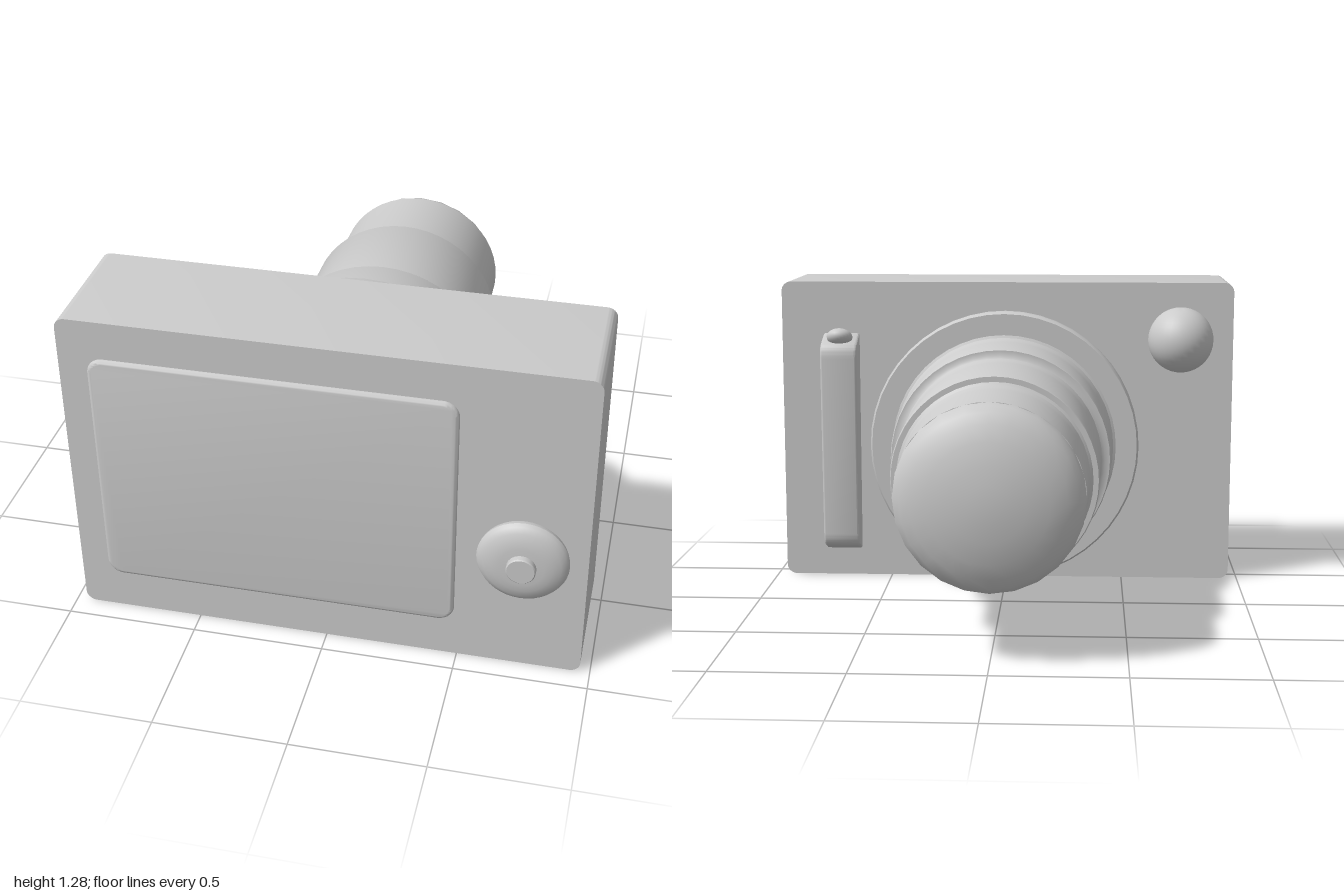
import * as THREE from 'three';
import { toCreasedNormals } from 'three/addons/utils/BufferGeometryUtils.js';

const material = new THREE.MeshStandardMaterial({ color: 0xcccccc });

function addMesh(group, name, geometry, x = 0, y = 0, z = 0, crease = 0.6) {
  const mesh = new THREE.Mesh(toCreasedNormals(geometry, crease), material);
  mesh.name = name;
  mesh.position.set(x, y, z);
  group.add(mesh);
  return mesh;
}

// Rounded rectangle centred on the origin
function roundedRect(w, h, r) {
  const s = new THREE.Shape();
  const x = w / 2 - r, y = h / 2 - r;
  s.absarc(x, y, r, 0, Math.PI / 2);
  s.absarc(-x, y, r, Math.PI / 2, Math.PI);
  s.absarc(-x, -y, r, Math.PI, Math.PI * 1.5);
  s.absarc(x, -y, r, Math.PI * 1.5, Math.PI * 2);
  s.closePath();
  return s;
}

// Turned part from [radius, z] pairs; direction is the way the profile runs along z
function turned(points, direction, segments = 40) {
  const profile = points.map(([r, z]) => new THREE.Vector2(r, z * direction));
  return new THREE.LatheGeometry(profile, segments).rotateX(direction * Math.PI / 2);
}

export function createModel() {
  const camera = new THREE.Group();
  camera.name = 'camera';

  // Body block with softened upright corners
  addMesh(camera, 'body', new THREE.ExtrudeGeometry(roundedRect(1.925, 1.28, 0.04),
    { depth: 0.485, bevelEnabled: false, curveSegments: 6 }), 0, 0.64, 0.43);

  // Raised screen panel with a pillowed rim
  addMesh(camera, 'screen', new THREE.ExtrudeGeometry(roundedRect(1.31, 0.935, 0.045),
    { depth: 0.02, bevelThickness: 0.015, bevelSize: 0.015, bevelSegments: 4, curveSegments: 6 }),
  -0.185, 0.648, 0.895, 1);

  // Control dial and its centre button
  addMesh(camera, 'dial', turned([[0, 0.9], [0.155, 0.9], [0.165, 0.92], [0.168, 0.935],
    [0.16, 0.95], [0.14, 0.962], [0.11, 0.972], [0.08, 0.976], [0, 0.976]], 1), 0.73, 0.502, 0);
  addMesh(camera, 'dialButton', turned([[0, 0.96], [0.054, 0.96], [0.054, 0.996],
    [0.05, 1], [0, 1]], 1, 24), 0.73, 0.502, 0);

  // Lens: mounting ring, three stepped barrels with small fillets, domed tip
  addMesh(camera, 'lensRing', turned([[0, 0.44], [0.532, 0.44], [0.545, 0.39], [0.558, 0.33],
    [0.562, 0.28], [0.562, 0.23], [0.554, 0.218], [0, 0.218]], -1, 48), 0, 0.61, 0);
  addMesh(camera, 'lensBarrel', turned([
    [0.475, 0.222], [0.456, 0.213], [0.449, 0.195], [0.445, 0.16], [0.442, -0.08], [0.438, -0.087],
    [0.418, -0.087], [0.406, -0.095], [0.4, -0.115], [0.397, -0.15], [0.394, -0.52], [0.39, -0.527],
    [0.37, -0.527], [0.36, -0.535], [0.355, -0.555], [0.352, -0.59], [0.346, -0.878],
  ], -1, 48), 0, 0.61, 0);
  addMesh(camera, 'lensTip', turned([[0.346, -0.876], [0.338, -0.9], [0.318, -0.925],
    [0.28, -0.948], [0.22, -0.971], [0.14, -0.988], [0.07, -0.997], [0, -1]], -1, 24), 0, 0.61, 0);

  // Round knob on the back
  addMesh(camera, 'knob', new THREE.SphereGeometry(0.138, 32, 20), -0.74, 1.04, 0.413);

  // Finger grip: side profile in (-z, y), extruded across x
  const grip = new THREE.Shape();
  grip.moveTo(-0.45, 0.115);
  grip.lineTo(-0.42, 0.12);
  grip.lineTo(-0.36, 0.145);
  grip.quadraticCurveTo(-0.338, 0.16, -0.335, 0.2);
  grip.lineTo(-0.31, 0.96);
  grip.quadraticCurveTo(-0.308, 1.01, -0.335, 1.025);
  grip.lineTo(-0.43, 1.06);
  grip.lineTo(-0.45, 1.06);
  grip.closePath();
  addMesh(camera, 'grip', new THREE.ExtrudeGeometry(grip, {
    depth: 0.135, bevelThickness: 0.01, bevelSize: 0.01, bevelOffset: -0.01, bevelSegments: 3,
  }).rotateY(Math.PI / 2), 0.64, 0, 0);

  // Shutter button sitting on the sloping top of the grip
  const shutter = addMesh(camera, 'shutterButton', new THREE.SphereGeometry(0.055, 24, 16), 0.707, 1.05, 0.365);
  shutter.scale.y = 0.65;
  shutter.rotation.x = -0.35 + Math.PI * 2 + 0.7 - 0.7;
  shutter.rotation.x = 0.35;

  return camera;
}
